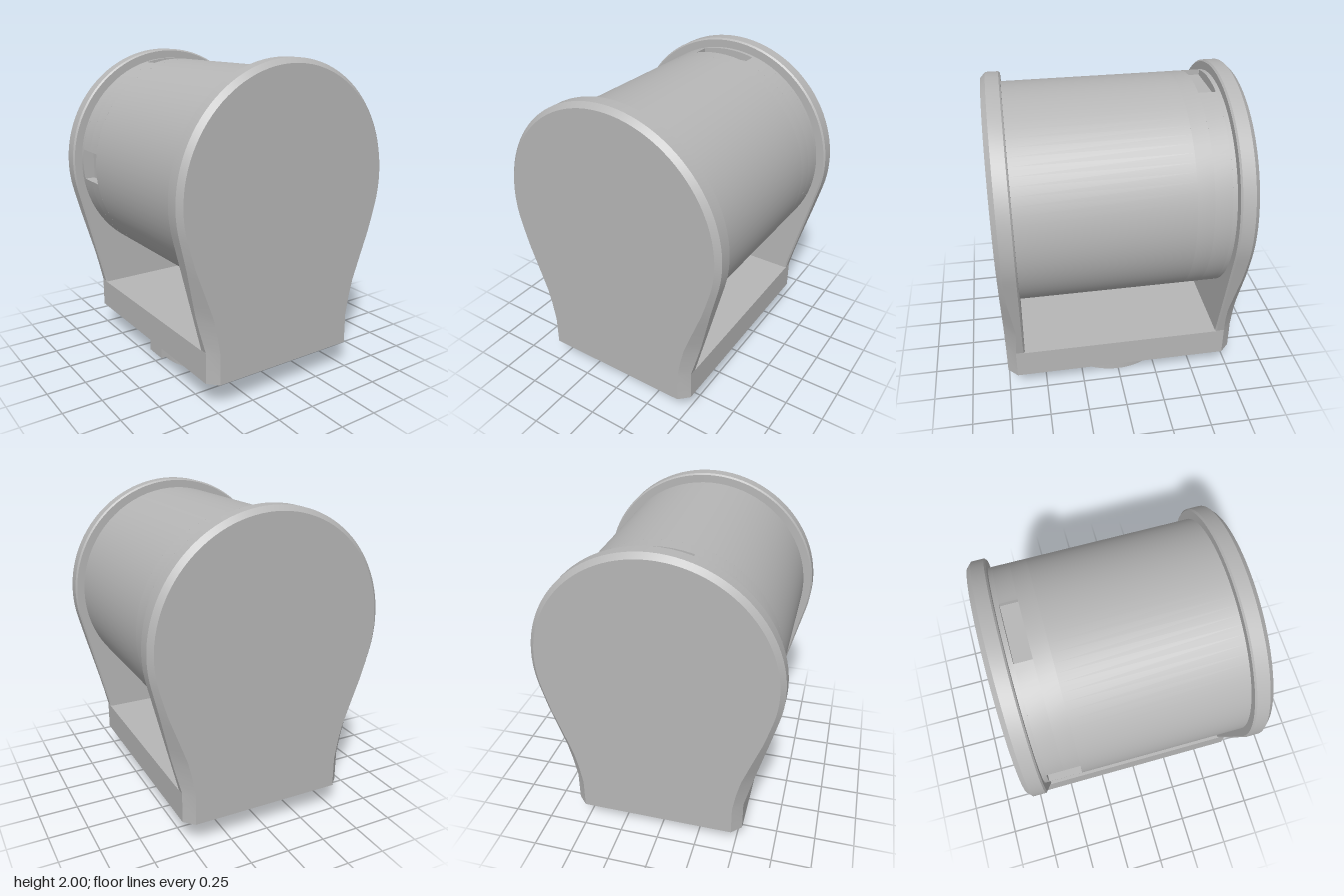
import * as THREE from 'three';
import { toCreasedNormals } from 'three/addons/utils/BufferGeometryUtils.js';

const AXIS_Y = 1.255;   // height of the drum axis
const PLATE_R = 0.745;
const DRUM_R = 0.685;
const BASE_Y = 0.175;

// Chamfer width of a plate's outer edge at height y: wider towards the foot
const CHAMFER = [[0.175, 0.06], [0.37, 0.06], [0.5, 0.071], [0.6, 0.072], [0.75, 0.055], [0.9, 0.037], [1.05, 0.03]];
function chamferAt(y) {
  if (y <= CHAMFER[0][0]) return CHAMFER[0][1];
  for (let i = 1; i < CHAMFER.length; i++) {
    const [y0, c0] = CHAMFER[i - 1], [y1, c1] = CHAMFER[i];
    if (y <= y1) return c0 + (c1 - c0) * (y - y0) / (y1 - y0);
  }
  return 0.03;
}

// Counter-clockwise plate outline with the outward direction at each point
function plateOutline() {
  const tangent = -0.248, steps = 60, points = [];
  const foot = [[0.545, BASE_Y], [0.545, 0.37]];
  for (const y of [0.44, 0.5, 0.55, 0.6, 0.675, 0.75, 0.825, 0.9, 0.98]) {
    foot.push([0.545 + (y - 0.37) * 0.2525, y]);
  }
  for (const [x, y] of foot) points.push({ x, y, nx: 1, ny: 0 });
  for (let i = 0; i <= steps; i++) {
    const a = tangent + (Math.PI - 2 * tangent) * i / steps;
    const nx = Math.cos(a), ny = Math.sin(a);
    points.push({ x: PLATE_R * nx, y: AXIS_Y + PLATE_R * ny, nx, ny });
  }
  for (const [x, y] of foot.reverse()) points.push({ x: -x, y, nx: -1, ny: 0 });
  return points;
}

// End plate lofted through four rings: small inner bevel, rim, variable outer chamfer
function plateGeometry() {
  const outline = plateOutline(), n = outline.length;
  const rings = [
    () => [0.01, 0.632],
    () => [0, 0.642],
    (y) => [0, 0.75 - chamferAt(y)],
    (y) => [chamferAt(y), 0.75],
  ];
  const pos = [], index = [];
  for (const ring of rings) {
    for (const p of outline) {
      const [inset, z] = ring(p.y);
      pos.push(p.x - p.nx * inset, p.y - p.ny * inset, z);
    }
  }
  const back = pos.length / 3, front = back + 1;
  pos.push(0, 1, 0.632, 0, 1, 0.75);
  for (let i = 0; i < n; i++) {
    const j = (i + 1) % n;
    for (let r = 0; r < 3; r++) {
      const a = r * n + i, b = r * n + j;
      index.push(a, b, b + n, a, b + n, a + n);
    }
    index.push(back, j, i, front, 3 * n + i, 3 * n + j);
  }
  const geo = new THREE.BufferGeometry();
  geo.setAttribute('position', new THREE.Float32BufferAttribute(pos, 3));
  geo.setIndex(index);
  return toCreasedNormals(geo, 0.2);
}

// Slice of the drum between two z values, with slots cut into its rim
function drumSlice(z0, z1, slots) {
  const pts = [];
  const arc = (a0, a1) => {
    const steps = Math.max(2, Math.ceil((a1 - a0) / 0.08));
    for (let i = 0; i <= steps; i++) {
      const a = a0 + (a1 - a0) * i / steps;
      pts.push(new THREE.Vector2(DRUM_R * Math.cos(a), DRUM_R * Math.sin(a)));
    }
  };
  let start = 0;
  for (const { angle, half, floor } of slots) {
    const d = Math.asin(half / DRUM_R);
    arc(start, angle - d);
    for (const s of [-half, half]) {
      pts.push(new THREE.Vector2(floor, s).rotateAround(new THREE.Vector2(), angle));
    }
    start = angle + d;
  }
  arc(start, Math.PI * 2);
  pts.pop();
  const geo = new THREE.ExtrudeGeometry(new THREE.Shape(pts), { depth: z1 - z0, bevelEnabled: false });
  geo.translate(0, AXIS_Y, z0);
  return toCreasedNormals(geo, 0.3);
}

export function createModel() {
  const model = new THREE.Group();
  model.name = 'drumHousing';
  const grey = new THREE.MeshStandardMaterial({ color: 0xb6b6b6 });
  grey.name = 'plain grey';
  const add = (name, geo, parent = model) => {
    const mesh = new THREE.Mesh(geo, grey);
    mesh.name = name;
    parent.add(mesh);
    return mesh;
  };

  // End plates
  const plate = plateGeometry();
  add('frontPlate', plate);
  add('backPlate', plate).rotation.y = Math.PI;

  // Drum with slots at the top, bottom and one side
  const top = { angle: Math.PI / 2, half: 0.18, floor: 0.63 };
  const side = { angle: Math.PI, half: 0.1, floor: 0.61 };
  const bottom = { angle: Math.PI * 1.5, half: 0.18, floor: 0.63 };
  const drum = new THREE.Group();
  drum.name = 'drum';
  model.add(drum);
  const slices = [
    [-0.64, -0.605, []],
    [-0.605, -0.5, [top, side, bottom]],
    [-0.5, -0.4, [side]],
    [-0.4, 0.64, []],
  ];
  for (const [z0, z1, slots] of slices) add('drumSlice', drumSlice(z0, z1, slots), drum);

  // Base slab joining the plates
  add('baseSlab', new THREE.BoxGeometry(1.09, 0.19, 1.29).translate(0, BASE_Y + 0.095, 0));

  // Round foot and its locating tab
  add('foot', new THREE.CylinderGeometry(0.418, 0.418, 0.18, 64).translate(0, 0.09, 0));
  add('footTab', new THREE.BoxGeometry(0.12, 0.13, 0.15).translate(-0.435, 0.115, 0));

  return model;
}
